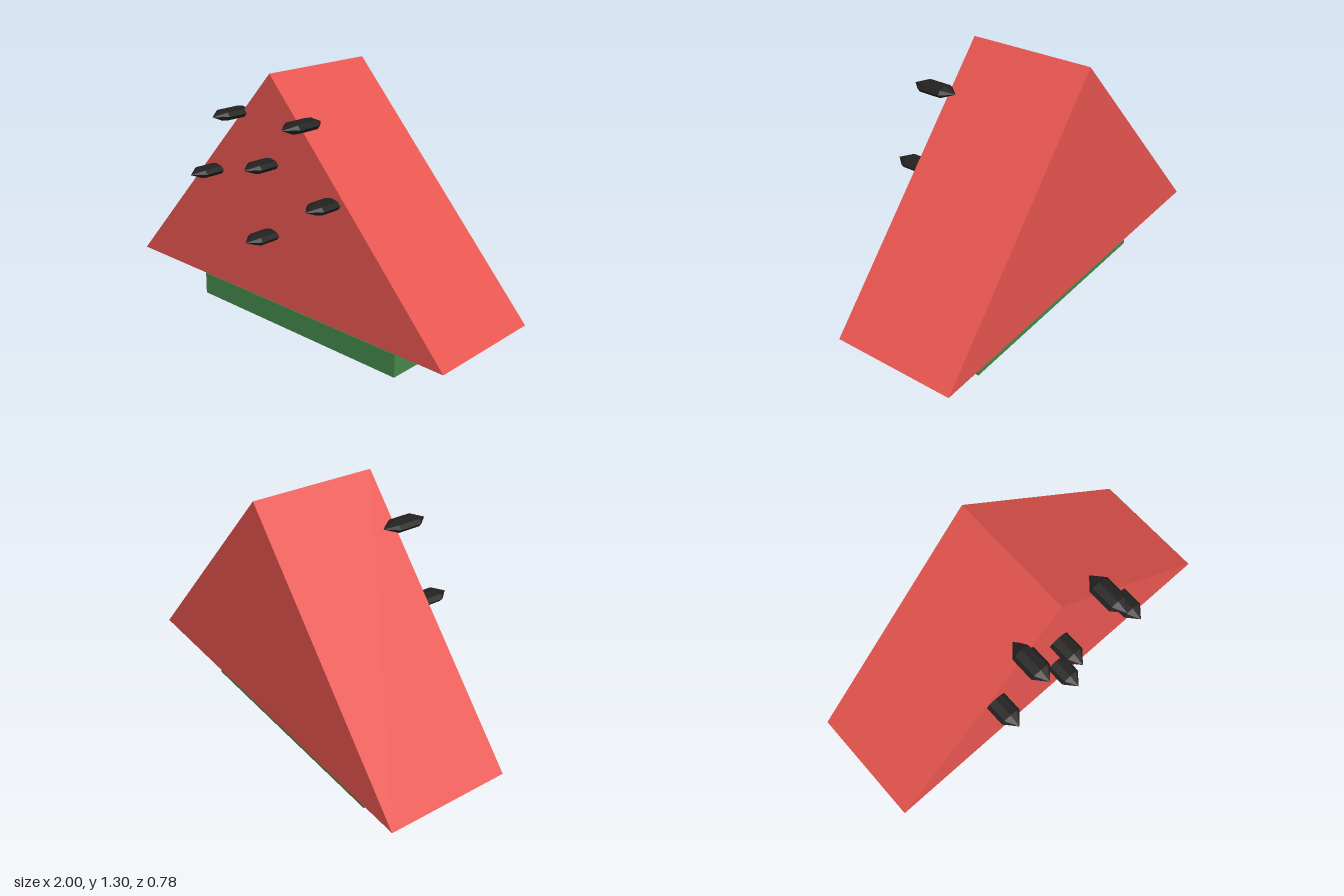
import * as THREE from 'three';

const material = (color) => new THREE.MeshStandardMaterial({ color, flatShading: true });

export function createModel() {
  const model = new THREE.Group();
  model.name = 'melonSlice';

  const add = (name, geometry, mat, x, y, z) => {
    const mesh = new THREE.Mesh(geometry, mat);
    mesh.name = name;
    mesh.position.set(x, y, z);
    model.add(mesh);
  };

  // Triangular wedge of flesh
  const triangle = new THREE.Shape([
    new THREE.Vector2(-1, 0.205),
    new THREE.Vector2(1, 0.205),
    new THREE.Vector2(0, 1.3),
  ]);
  const wedge = new THREE.ExtrudeGeometry(triangle, { depth: 0.62, bevelEnabled: false });
  add('flesh', wedge, material(0xe8554f), 0, 0, -0.39);

  // Pale inner rind, and green outer rind below a narrow gap
  add('innerRind', new THREE.BoxGeometry(1.235, 0.075, 0.35), material(0xd6d0bb), 0, 0.1675, -0.08);
  add('outerRind', new THREE.BoxGeometry(1.3, 0.115, 0.368), material(0x46884b), 0, 0.0575, -0.081);

  // Flattened faceted seeds with points to front and back
  const seed = new THREE.SphereGeometry(1, 8, 3);
  seed.rotateX(Math.PI / 2);
  seed.scale(0.06, 0.03, 0.118);
  const seedMaterial = material(0x222120);
  const seeds = [
    [-0.205, 1.097], [0.24, 1.115], [0, 0.89],
    [-0.378, 0.788], [0.378, 0.788], [0, 0.548],
  ];
  seeds.forEach(([x, y], i) => add(`seed${i + 1}`, seed, seedMaterial, x, y, 0.272));

  return model;
}
